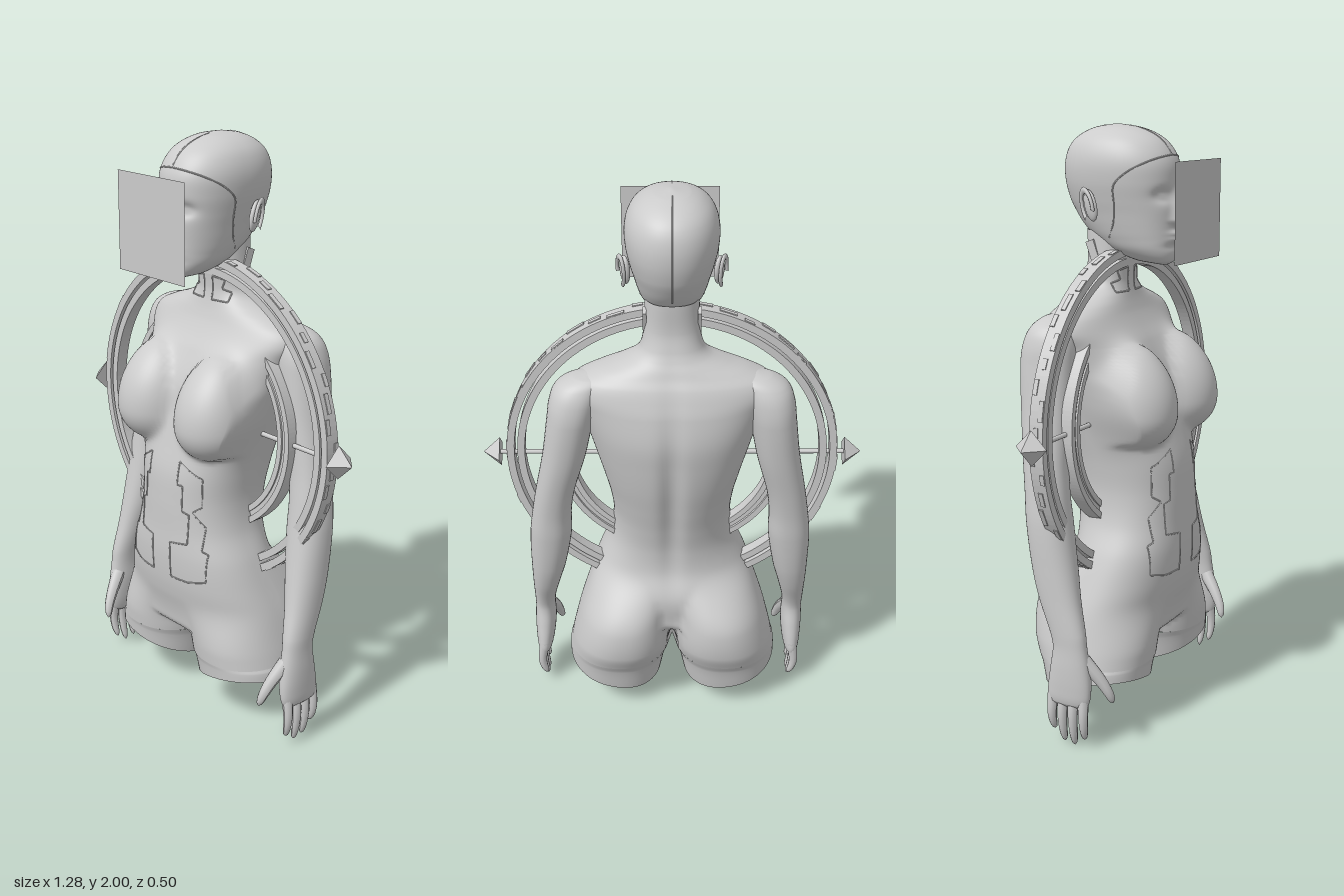
import * as THREE from 'three';

const grey = new THREE.MeshStandardMaterial({ color: 0xcccccc });
const greyBoth = new THREE.MeshStandardMaterial({ color: 0xcccccc, side: THREE.DoubleSide });
const RING_Y = 1.045, RING_Z = -0.013, HIP_Y = 0.235;

// Cross-section rows, bottom to top: [y, centre x, half width, front z, back z]
const TORSO = [
  [HIP_Y, 0, 0.373, 0.18, -0.21], [0.3, 0, 0.36, 0.188, -0.243], [0.4, 0, 0.334, 0.2, -0.225],
  [0.5, 0, 0.299, 0.218, -0.19], [0.6, 0, 0.262, 0.225, -0.15],
  [0.7, 0, 0.22, 0.222, -0.148], [0.8, 0, 0.205, 0.22, -0.168], [0.9, 0, 0.213, 0.213, -0.195],
  [1.0, 0, 0.232, 0.188, -0.22], [1.1, 0, 0.255, 0.16, -0.237], [1.2, 0, 0.28, 0.135, -0.247],
  [1.3, 0, 0.31, 0.085, -0.236], [1.35, 0, 0.33, 0.055, -0.222], [1.39, 0, 0.312, 0.034, -0.207],
  [1.42, 0, 0.25, 0.022, -0.19], [1.445, 0, 0.18, 0.014, -0.178], [1.47, 0, 0.125, 0.008, -0.165],
  [1.5, 0, 0.1, 0.005, -0.153], [1.56, 0, 0.09, 0.01, -0.14], [1.66, 0, 0.085, 0.02, -0.145]];
const LEG = [
  [0.11, 0.21, 0.17, 0.175, -0.18], [0.2, 0.2, 0.178, 0.18, -0.2], [HIP_Y, 0.191, 0.182, 0.184, -0.218],
  [0.3, 0.18, 0.18, 0.19, -0.243], [0.4, 0.167, 0.167, 0.2, -0.245], [0.5, 0.152, 0.148, 0.2, -0.218],
  [0.62, 0.14, 0.122, 0.19, -0.155]];
const ARM = [
  [0.145, 0.447, 0.015, 0.08, -0.03], [0.16, 0.449, 0.026, 0.1, -0.05], [0.21, 0.447, 0.034, 0.108, -0.05],
  [0.28, 0.445, 0.038, 0.103, -0.04], [0.35, 0.445, 0.036, 0.092, -0.03], [0.4, 0.443, 0.039, 0.085, -0.042],
  [0.5, 0.432, 0.05, 0.06, -0.085], [0.6, 0.42, 0.062, 0.04, -0.115], [0.75, 0.407, 0.072, 0.012, -0.14],
  [0.85, 0.4, 0.067, -0.003, -0.15], [0.95, 0.385, 0.066, -0.015, -0.165], [1.1, 0.352, 0.072, -0.02, -0.19],
  [1.25, 0.328, 0.077, -0.022, -0.205], [1.32, 0.315, 0.08, -0.026, -0.2], [1.37, 0.296, 0.076, -0.04, -0.182],
  [1.4, 0.265, 0.058, -0.06, -0.155], [1.411, 0.25, 0.02, -0.085, -0.12]];
const HEAD = [
  [1.553, 0, 0.015, 0.145, 0.11], [1.565, 0, 0.05, 0.162, 0.03], [1.6, 0, 0.085, 0.17, -0.06],
  [1.64, 0, 0.102, 0.17, -0.12], [1.68, 0, 0.113, 0.171, -0.16], [1.72, 0, 0.122, 0.172, -0.187],
  [1.76, 0, 0.132, 0.171, -0.207], [1.82, 0, 0.144, 0.172, -0.222], [1.88, 0, 0.146, 0.167, -0.222],
  [1.93, 0, 0.132, 0.14, -0.205], [1.965, 0, 0.105, 0.098, -0.17], [1.99, 0, 0.06, 0.033, -0.115],
  [2.0, 0, 0.005, -0.035, -0.055]];

const bell = (v, centre, width) => Math.exp(-(((v - centre) / width) ** 2));
const ramp = THREE.MathUtils.smoothstep, mix = THREE.MathUtils.lerp;

// Smooth interpolation of the rows at height y
function sample(rows, y) {
  let i = 0;
  while (i < rows.length - 2 && y > rows[i + 1][0]) i++;
  const a = rows[i], b = rows[i + 1], p = rows[Math.max(i - 1, 0)], n = rows[Math.min(i + 2, rows.length - 1)];
  const h = b[0] - a[0], t = (y - a[0]) / h;
  return a.map((v, k) => {
    const m0 = (b[k] - p[k]) / (b[0] - p[0]) * h, m1 = (n[k] - v) / (n[0] - a[0]) * h;
    return (2 * t ** 3 - 3 * t * t + 1) * v + (t ** 3 - 2 * t * t + t) * m0
      + (3 * t * t - 2 * t ** 3) * b[k] + (t ** 3 - t * t) * m1;
  });
}

// Depth of a section at x: sign 1 for the front, -1 for the back
function depthAt(rows, x, y, exp, sign = 1) {
  const [, cx, rx, zf, zb] = sample(rows, y);
  const d = Math.min(Math.abs(Math.abs(x) - cx) / rx, 1);
  return (zf + zb) / 2 + sign * (zf - zb) / 2 * (1 - d ** exp) ** (1 / exp);
}

// Skin through rounded cross-sections; rule may move each point
function loft(rows, { side = 1, exp = 2.2, segs = 64, steps = 6, open = false, rule } = {}) {
  const ys = [], pos = [], idx = [], p = new THREE.Vector3();
  for (let i = 0; i < rows.length - 1; i++)
    for (let s = 0; s < steps; s++) ys.push(rows[i][0] + (rows[i + 1][0] - rows[i][0]) * s / steps);
  ys.push(rows[rows.length - 1][0]);
  const bend = v => Math.sign(v) * Math.abs(v) ** (2 / exp);
  for (const y of ys) {
    const [, cx, rx, zf, zb] = sample(rows, y);
    for (let j = 0; j < segs; j++) {
      const a = j / segs * Math.PI * 2;
      p.set(cx * side + rx * bend(Math.cos(a)), y, (zf + zb) / 2 + (zf - zb) / 2 * bend(Math.sin(a)));
      if (rule) rule(p, Math.sin(a));
      pos.push(p.x, p.y, p.z);
    }
  }
  const n = ys.length;
  for (let i = 0; i < n - 1; i++) for (let j = 0; j < segs; j++) {
    const a = i * segs + j, b = i * segs + (j + 1) % segs, c = b + segs, d = a + segs;
    idx.push(a, d, c, a, c, b);
  }
  for (const top of open ? [] : [false, true]) {
    const row = top ? rows[rows.length - 1] : rows[0], base = top ? (n - 1) * segs : 0, centre = pos.length / 3;
    pos.push(row[1] * side, row[0], (row[3] + row[4]) / 2);
    for (let j = 0; j < segs; j++) {
      const a = base + j, b = base + (j + 1) % segs;
      idx.push(centre, top ? b : a, top ? a : b);
    }
  }
  const g = new THREE.BufferGeometry();
  g.setAttribute('position', new THREE.Float32BufferAttribute(pos, 3));
  g.setIndex(idx);
  g.computeVertexNormals();
  return g;
}

// Tube along points that narrows to a rounded tip
function taperTube(points, r, tip) {
  const curve = new THREE.CatmullRomCurve3(points.map(q => new THREE.Vector3(...q)));
  const n = 16, k = 10, g = new THREE.TubeGeometry(curve, n, r, k), pos = g.attributes.position;
  const v = new THREE.Vector3();
  for (let i = 0; i <= n; i++) {
    const u = i / n, c = curve.getPointAt(u), f = (1 + (tip / r - 1) * u) * Math.sqrt(1 - u ** 10);
    for (let j = 0; j <= k; j++) {
      const m = i * (k + 1) + j;
      v.fromBufferAttribute(pos, m).sub(c).multiplyScalar(f).add(c);
      pos.setXYZ(m, v.x, v.y, v.z);
    }
  }
  g.computeVertexNormals();
  return g;
}

// Torso relief: spine groove, hips parting into thighs, bust
function shapeTorso(p, s) {
  const { x, y } = p, sign = s < 0 ? -1 : 1;
  if (s < 0) p.z += 0.022 * bell(x, 0, 0.035) * bell(y, 0.95, 0.33);
  const w = s < 0 ? 1 - ramp(y, 0.4, 0.62) : 1 - ramp(y, 0.27, 0.45);
  if (w > 0) {
    let depth = sign * depthAt(LEG, x, y, 2.2, sign);
    if (Math.abs(x) < 0.12) depth = Math.max(depth, s < 0 ? 0.17 * ramp(y, 0.24, 0.4) : 0.18 * ramp(y, 0.2, 0.33));
    p.z = mix(p.z, sign * depth, w);
  }
  if (s > 0 && y > 0.85 && y < 1.4) {
    p.x *= 1 + 0.45 * bell(y, 1.08, 0.09) * s * (1 - s);
    const up = (y - 1.085) / (y > 1.085 ? 0.225 : 0.123), over = Math.max(up, 0);
    const d = ((Math.abs(p.x) - 0.147) / 0.128) ** 2 + up * up;
    const dome = 0.113 + (d < 1 ? 0.133 * Math.sqrt(1 - d) : 0.3 * (1 - d)) - 0.05 * over * over;
    const z = (p.z + dome + Math.hypot(p.z - dome, 0.025 + 0.04 * Math.min(over, 1))) / 2;
    p.z = mix(p.z, z, ramp(s, 0, 0.35) * ramp(y, 0.85, 0.92) * (1 - ramp(y, 1.28, 1.4)));
  }
}

// Face relief: nose, eye sockets and lips
function shapeFace(p, s) {
  if (s <= 0) return;
  const { x, y } = p, ax = Math.abs(x);
  const nose = y > 1.698 ? Math.max(0, 1 - (y - 1.698) / 0.11) : bell(y, 1.698, 0.014);
  p.z += 0.048 * nose * bell(x, 0, 0.012 + 0.01 * nose)
    - 0.02 * bell(ax, 0.055, 0.03) * bell(y, 1.778, 0.022) + 0.007 * bell(ax, 0.052, 0.018) * bell(y, 1.776, 0.01)
    + 0.014 * bell(x, 0, 0.03) * (bell(y, 1.655, 0.009) + bell(y, 1.637, 0.01))
    - 0.006 * bell(x, 0, 0.05) * bell(y, 1.612, 0.012);
}

export function createModel() {
  const model = new THREE.Group();
  const add = (name, geometry, material = grey, parent = model) => {
    const m = new THREE.Mesh(geometry, material);
    m.name = name;
    parent.add(m);
    return m;
  };
  const seam = (name, pts) => {
    const curve = new THREE.CatmullRomCurve3(pts.map(q => new THREE.Vector3(...q)), false, 'centripetal');
    add(name, new THREE.TubeGeometry(curve, Math.max(48, pts.length * 2), 0.0025, 5));
  };

  add('torso', loft(TORSO, { exp: 2.3, segs: 144, steps: 9, open: true, rule: shapeTorso }), greyBoth);
  add('head', loft(HEAD, { segs: 128, steps: 8, rule: shapeFace }));
  seam('crownSeamFront', [1.995, 1.98, 1.95, 1.91].map(y => [0, y, sample(HEAD, y)[3]]));
  seam('crownSeamBack', [1.995, 1.98, 1.95, 1.91, 1.87, 1.8, 1.74, 1.68].map(y => [0, y, sample(HEAD, y)[4]]));

  for (const s of [1, -1]) {
    const side = s > 0 ? 'left' : 'right';

    // Thigh stump, cut on a slant and left open
    add(side + 'Thigh', loft(LEG.slice(0, 3), { side: s, open: true, rule: p => {
      const cut = 0.145 + 0.2 * (Math.abs(p.x) - 0.21) + 0.2 * p.z;
      p.y = mix(cut, HIP_Y, (p.y - 0.11) / (HIP_Y - 0.11));
    } }), greyBoth);

    // Arm group turns about the shoulder; the left hangs a little wider
    const arm = new THREE.Group();
    arm.name = side + 'ArmAndHand';
    arm.position.set(s * 0.3, 1.35, 0);
    arm.rotation.z = s > 0 ? 0.025 : 0;
    model.add(arm);
    const addArm = (name, g) => add(side + name, g.translate(-s * 0.3, -1.35, 0), grey, arm);
    addArm('Arm', loft(ARM, { side: s, segs: 40 }));
    [[0.086, 0.03], [0.046, 0.002], [0.006, 0.008], [-0.034, 0.045]].forEach(([z, end], i) =>
      addArm('Finger' + (i + 1), taperTube([[s * 0.447, 0.2, z * 0.95], [s * 0.458, 0.12, z],
        [s * 0.454, 0.06 + end / 2, z], [s * 0.44, end, z * 0.95]], 0.02, 0.012)));
    addArm('Thumb', taperTube([[s * 0.436, 0.31, 0.075], [s * 0.415, 0.245, 0.125],
      [s * 0.403, 0.2, 0.15], [s * 0.392, 0.16, 0.162]], 0.026, 0.014));

    // Ear: shell and open rim
    const ear = new THREE.Group();
    ear.name = side + 'Ear';
    add(side + 'EarShell', new THREE.SphereGeometry(1, 20, 16), grey, ear).scale.set(0.014, 0.052, 0.028);
    const rim = add(side + 'EarRim', new THREE.TorusGeometry(0.027, 0.006, 8, 28, 4.4).rotateZ(-0.9), grey, ear);
    rim.geometry.rotateY(Math.PI / 2);
    rim.scale.y = 1.9;
    rim.position.x = s * 0.014;
    ear.position.set(s * 0.145, 1.745, -0.062);
    ear.rotation.set(-0.25, s * 0.4, 0);
    model.add(ear);

    // Face mask seam across the brow and down to the jaw
    const brow = [[1.9, 0.15], [1.885, 0.12], [1.85, 0.06], [1.81, 0.02], [1.75, 0.015], [1.69, 0.005], [1.64, -0.02]];
    seam(side + 'MaskSeam', [[0, 1.905, 0.158]].concat(brow.map(([y, z]) => {
      const [, , rx, zf, zb] = sample(HEAD, y);
      const d = Math.min(Math.abs(z - (zf + zb) / 2) / ((zf - zb) / 2), 1);
      return [s * rx * (1 - d ** 2.2) ** (1 / 2.2), y, z];
    })));

    // Stepped abdomen and neck panel lines, laid on the torso
    const draw = (name, pts) => {
      const path = [];
      pts.forEach(([x, y], i) => {
        const [nx, ny] = pts[Math.min(i + 1, pts.length - 1)];
        for (let k = 0; k < 6; k++) {
          const u = mix(x, nx, k / 6), v = mix(y, ny, k / 6);
          if (k === 0 || i < pts.length - 1) path.push([s * u, v, depthAt(TORSO, u, v, 2.3)]);
        }
      });
      seam(side + name, path);
    };
    draw('OuterAbdomenLine', [[0.07, 0.95], [0.15, 0.9], [0.15, 0.8], [0.125, 0.78], [0.165, 0.73],
      [0.165, 0.65], [0.185, 0.64], [0.185, 0.54], [0.12, 0.525], [0.045, 0.525]]);
    draw('InnerAbdomenLine', [[0.07, 0.95], [0.07, 0.87], [0.09, 0.87], [0.09, 0.78], [0.115, 0.77],
      [0.115, 0.665], [0.045, 0.655], [0.045, 0.525]]);
    draw('NeckLine', [[0.02, 1.54], [0.065, 1.53], [0.055, 1.5], [0.085, 1.49], [0.085, 1.46], [0.02, 1.46], [0.02, 1.54]]);

    // Neck side strut
    const strut = add(side + 'NeckStrut', new THREE.BoxGeometry(0.012, 0.15, 0.03));
    strut.position.set(s * 0.086, 1.555, -0.075);
    strut.rotation.x = -0.35;

    // Pyramid at the end of the axle
    const gem = add(side + 'Pyramid', new THREE.ConeGeometry(0.057, 0.058, 4).toNonIndexed());
    gem.geometry.computeVertexNormals();
    gem.rotation.z = -s * Math.PI / 2;
    gem.position.set(s * 0.611, RING_Y, RING_Z);
  }

  // Concentric rings: [outer radius, inner radius, depth]
  [[0.558, 0.533, 0.05], [0.523, 0.498, 0.044], [0.39, 0.37, 0.05],
    [0.372, 0.352, 0.032], [0.354, 0.335, 0.044]].forEach(([outer, inner, depth], i) => {
    const shape = new THREE.Shape().absarc(0, 0, outer, 0, Math.PI * 2);
    shape.holes.push(new THREE.Path().absarc(0, 0, inner, 0, Math.PI * 2, true));
    const g = new THREE.ExtrudeGeometry(shape, { depth, bevelEnabled: false, curveSegments: 80 });
    add('ring' + (i + 1), g.translate(0, RING_Y, RING_Z - depth / 2));
  });
  // Raised plates of varied length around the outer rim
  for (let i = 0; i < 48; i++) {
    const a = (i + 0.5) / 48 * Math.PI * 2;
    const plate = add('rimPlate', new THREE.BoxGeometry(0.006, 0.035 + 0.03 * ((i * 7) % 5) / 4, 0.016));
    plate.position.set(Math.cos(a) * 0.558, RING_Y + Math.sin(a) * 0.558, RING_Z + ((i * 5) % 3 - 1) * 0.015);
    plate.rotation.z = a;
  }

  // Axle through the rings
  const axle = add('axle', new THREE.CylinderGeometry(0.008, 0.008, 1.18, 12));
  axle.rotation.z = Math.PI / 2;
  axle.position.set(0, RING_Y, RING_Z);

  // Flat square panel before the face
  add('facePanel', new THREE.PlaneGeometry(0.32, 0.32), greyBoth).position.set(0.005, 1.73, 0.25);
  return model;
}
